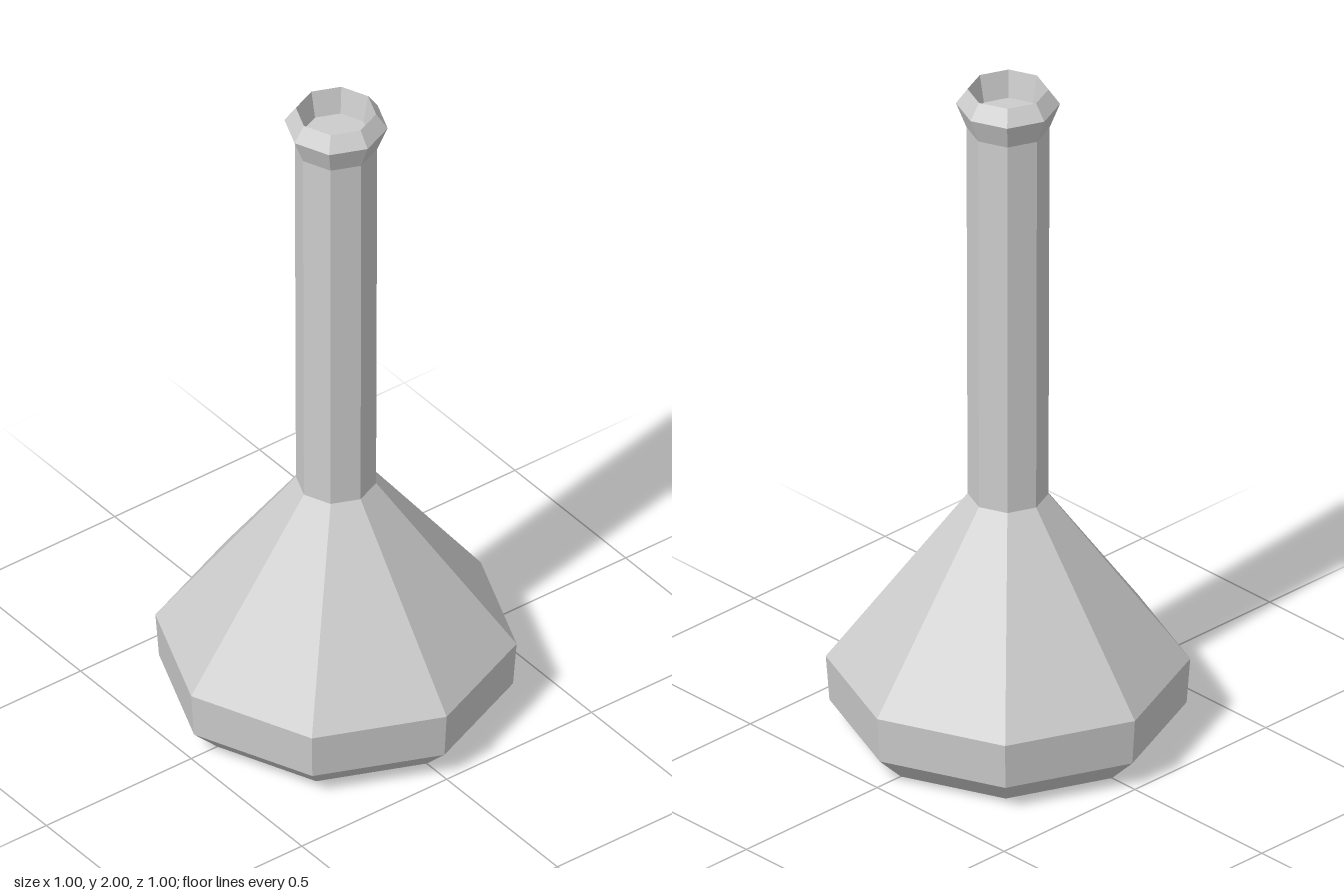
import * as THREE from 'three';

const SIDES = 8;

export function createModel() {
  const group = new THREE.Group();
  group.name = 'flask';
  const glass = new THREE.MeshStandardMaterial({ color: 0xcccccc, flatShading: true });
  glass.name = 'pale grey';

  // Eight-sided turned part from [radius, height] pairs
  const turned = (name, profile) => {
    const points = profile.map(([r, y]) => new THREE.Vector2(r, y));
    const mesh = new THREE.Mesh(new THREE.LatheGeometry(points, SIDES), glass);
    mesh.name = name;
    group.add(mesh);
  };

  // Flat disc at a given height, facing up or down
  const disc = (name, radius, y, up) => {
    const mesh = new THREE.Mesh(new THREE.CircleGeometry(radius, SIDES), glass);
    mesh.rotation.x = up ? -Math.PI / 2 : Math.PI / 2;
    mesh.position.y = y;
    mesh.name = name;
    group.add(mesh);
  };

  // Bulb: bevelled foot, short wall and sloping shoulder
  disc('base', 0.41, 0, false);
  turned('body', [[0.41, 0], [0.49, 0.078], [0.5, 0.215], [0.111, 0.73]]);

  // Long, almost straight neck
  turned('neck', [[0.111, 0.73], [0.114, 1.88]]);

  // Flared lip with a tapering recess inside the mouth
  turned('lip', [[0.114, 1.88], [0.143, 1.955], [0.111, 2], [0.095, 1.92]]);
  disc('mouthFloor', 0.095, 1.92, true);

  return group;
}
